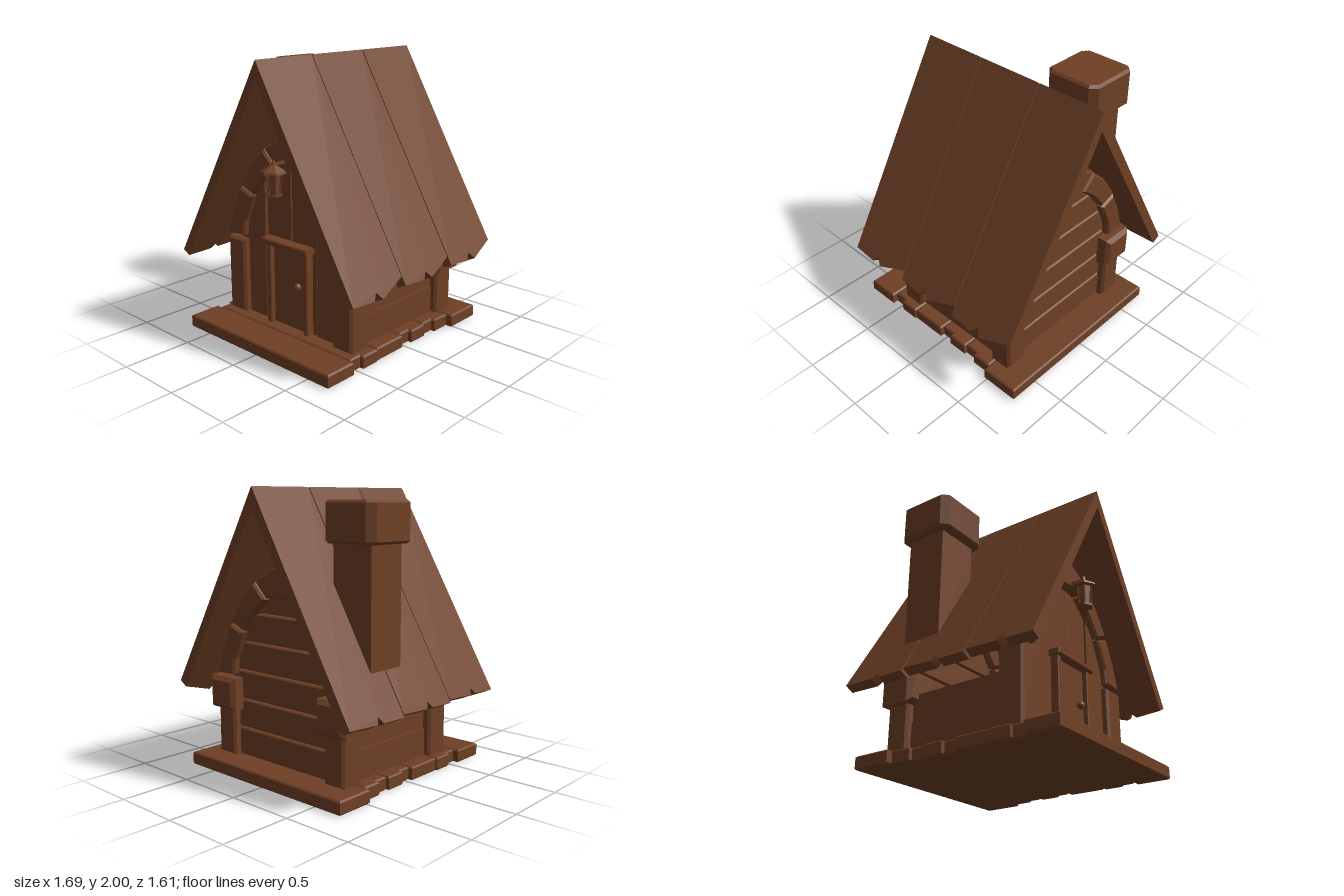
import * as THREE from 'three';

export function createModel() {
  const model = new THREE.Group();
  model.name = 'cottage';
  const wood = new THREE.MeshStandardMaterial({ color: 0x6f4025 });
  wood.name = 'brown wood';

  const add = (name, geometry, parent = model) => {
    const mesh = new THREE.Mesh(geometry, wood);
    mesh.name = name;
    parent.add(mesh);
    return mesh;
  };
  const group = (name) => {
    const g = new THREE.Group();
    g.name = name;
    model.add(g);
    return g;
  };
  const shapeOf = (pts) => new THREE.Shape(pts.map(([x, y]) => new THREE.Vector2(x, y)));

  // Outline in x,y pushed from z0 to z1, with chamfered edges
  const slab = (pts, z0, z1, b = 0.012) => {
    const g = new THREE.ExtrudeGeometry(shapeOf(pts), {
      depth: z1 - z0 - 2 * b, bevelEnabled: b > 0, bevelSegments: 1,
      bevelSize: b, bevelThickness: b, bevelOffset: -b,
    });
    return g.translate(0, 0, z0 + b);
  };
  const rect = (x0, x1, y0, y1) => [[x0, y0], [x1, y0], [x1, y1], [x0, y1]];
  const block = (x0, x1, y0, y1, z0, z1, b) => slab(rect(x0, x1, y0, y1), z0, z1, b);
  // Outline in x,z pushed down from y1 to y0
  const plan = (pts, y0, y1, b) => slab(pts, 0, y1 - y0, b).rotateX(Math.PI / 2).translate(0, y1, 0);
  const flip = (pts) => pts.map(([x, y]) => [-x, y]);
  const facet = (g) => {
    const f = g.toNonIndexed();
    f.computeVertexNormals();
    return f;
  };

  // Floor boards: front edge, back edge, step position, half length before and after the step
  const floor = group('floor');
  [
    [0.81, 0.565, 0.7, 0.69, 0.69], [0.56, 0.315, 0.46, 0.65, 0.68],
    [0.31, 0.035, 0.17, 0.67, 0.67], [0.03, -0.22, -0.07, 0.64, 0.67],
    [-0.225, -0.475, -0.33, 0.65, 0.68], [-0.48, -0.765, -0.6, 0.725, 0.725],
  ].forEach(([z0, z1, s, a, c]) => {
    const side = a === c ? [[a, z0], [c, z1]] : [[a, z0], [a, s], [c, s], [c, z1]];
    add('floorBoard', plan([...side, ...flip(side).reverse()], 0, 0.095, 0.01), floor);
  });

  // Roof: three boards on each slope with skewed, notched eaves
  const roof = group('roof');
  const slope = 1.716, thick = 0.14;
  const roofBoard = (pts) => {
    const g = slab(pts, 0, thick, 0);
    const p = g.attributes.position;
    for (let i = 0; i < p.count; i++) {
      const d = p.getZ(i), z = p.getY(i);
      const x = p.getX(i) * (1 - 0.075 * d / thick);
      p.setXYZ(i, x, 2 - slope * Math.abs(x) - d, z);
    }
    g.computeVertexNormals();
    return g;
  };
  [[0.74, 0.232], [0.226, -0.279], [-0.287, -0.8]].forEach(([z0, z1]) => {
    const n = z0 - 0.233;
    add('roofBoardLeft', roofBoard([[0, z0], [0.835, z0], [0.842, n + 0.04], [0.817, n],
      [0.845, n - 0.04], [0.802, z1], [0, z1]]), roof);
    add('roofBoardRight', roofBoard([[0, z0], [-0.845, z0], [-0.842, n + 0.03], [-0.818, n],
      [-0.842, n - 0.03], [-0.835, z1], [0, z1]]), roof);
  });

  // Arched frames: posts, curved side stones and a peaked top piece
  const lower = [[0.61, 0.68], [0.445, 0.69], [0.43, 0.8], [0.34, 1.0], [0.47, 1.05], [0.55, 0.88]];
  const upper = [[0.465, 1.065], [0.335, 1.015], [0.23, 1.15], [0.11, 1.25], [0.22, 1.36], [0.35, 1.235]];
  const crown = [[0.21, 1.375], [0, 1.48], [-0.21, 1.375], [-0.1, 1.26], [0, 1.275], [0.1, 1.26]];
  const arch = (name, z0, z1) => {
    const g = group(name);
    for (const s of [1, -1]) {
      const side = (pts) => (s > 0 ? pts : flip(pts));
      add('post', slab(side(rect(0.435, 0.61, 0.095, 0.66)), z0, z1, 0.018), g);
      add('lowerArchPiece', slab(side(lower), z0, z1 - 0.005, 0.015), g);
      add('upperArchPiece', slab(side(upper), z0, z1 - 0.005, 0.015), g);
    }
    add('archCrown', slab(crown, z0, z1, 0.015), g);
    return g;
  };
  arch('frontArch', 0.31, 0.505);
  const back = arch('backArch', -0.61, -0.43);
  for (const s of [1, -1]) {
    const pts = rect(0.4, 0.652, 0.43, 0.665);
    add('postBand', slab(s > 0 ? pts : flip(pts), -0.655, -0.385, 0.03), back);
  }

  // Middle line of the arch, used to trim the end walls
  const line = [[0, 1.38], [0.16, 1.31], [0.4, 1.03], [0.52, 0.67], [0.52, 0.09]];
  const along = (v, a, b) => {
    for (let i = 0; i < line.length - 1; i++) {
      const p = line[i], q = line[i + 1];
      const t = (v - p[a]) / (q[a] - p[a]);
      if (t >= 0 && t <= 1) return p[b] + t * (q[b] - p[b]);
    }
    return 0;
  };

  // Front wall: upright boards
  const frontWall = group('frontWall');
  for (const s of [1, -1]) {
    [[0.003, 0.247, 0.16, 0.44], [0.253, 0.515, 0.4, 0.452]].forEach(([x0, x1, xm, z]) => {
      const pts = [[x0, 0.09], [x1, 0.09], [x1, along(x1, 0, 1)], [xm, along(xm, 0, 1)], [x0, along(x0, 0, 1)]];
      add('wallBoard', slab(s > 0 ? pts : flip(pts), 0.37, z, 0.006), frontWall);
    });
  }

  // Back wall: level boards
  const backWall = group('backWall');
  for (let i = 0; i < 6; i++) {
    const y0 = 0.095 + i * 0.21, y1 = y0 + 0.2;
    const w0 = along(y0, 1, 0), w1 = along(Math.min(y1, 1.37), 1, 0);
    add('wallBoard', slab([[-w0, y0], [w0, y0], [w1, y1], [-w1, y1]], -0.555, -0.49, 0.01), backWall);
  }

  // Low side walls between the posts
  const sideWalls = group('sideWalls');
  for (const s of [1, -1]) {
    for (const [y0, y1, x] of [[0.095, 0.298, 0.565], [0.303, 0.5, 0.555]]) {
      const pts = rect(0.49, x, y0, y1);
      add('sideBoard', slab(s > 0 ? pts : flip(pts), -0.45, 0.33, 0.008), sideWalls);
    }
  }

  // Door with frame and knob
  const door = group('door');
  add('doorPanel', block(-0.165, 0.165, 0.095, 0.695, 0.4, 0.462, 0.005), door);
  for (const s of [1, -1]) {
    add('doorJamb', block(s * 0.18 - 0.02, s * 0.18 + 0.02, 0.095, 0.695, 0.4, 0.5, 0.006), door);
  }
  add('lintel', block(-0.225, 0.215, 0.69, 0.732, 0.4, 0.525, 0.008), door);
  const knob = add('doorKnob', facet(new THREE.SphereGeometry(0.028, 8, 6)), door);
  knob.position.set(0.092, 0.428, 0.483);

  // Lantern hung in front of the arch
  const lantern = group('lantern');
  lantern.position.set(0, 0, 0.6);
  const ring = (name, rTop, rBottom, y0, y1) => {
    add(name, facet(new THREE.CylinderGeometry(rTop, rBottom, y1 - y0, 6)), lantern)
      .position.y = (y0 + y1) / 2;
  };
  ring('lanternBase', 0.058, 0.058, 1.09, 1.105);
  ring('lanternGlass', 0.048, 0.036, 1.105, 1.245);
  ring('lanternRim', 0.085, 0.09, 1.245, 1.26);
  ring('lanternRoof', 0.022, 0.085, 1.26, 1.3);
  ring('lanternTip', 0.006, 0.018, 1.3, 1.335);
  for (let i = 0; i < 6; i++) {
    const a = (i * Math.PI) / 3;
    const bar = new THREE.LineCurve3(
      new THREE.Vector3(Math.sin(a) * 0.042, 1.1, Math.cos(a) * 0.042),
      new THREE.Vector3(Math.sin(a) * 0.055, 1.25, Math.cos(a) * 0.055));
    add('lanternBar', new THREE.TubeGeometry(bar, 1, 0.007, 4), lantern);
  }
  add('lanternBracket', block(-0.01, 0.01, 1.295, 1.315, -0.13, 0.01, 0.003), lantern);

  // Chimney shaft, its foot cut to follow the roof
  const chimney = group('chimney');
  const shaft = new THREE.BoxGeometry(0.32, 1, 0.3).translate(-0.52, 0, -0.278);
  const sp = shaft.attributes.position;
  for (let i = 0; i < sp.count; i++) {
    const x = sp.getX(i);
    if (sp.getY(i) > 0) sp.setY(i, 1.66);
    else sp.setY(i, 2 - slope * Math.abs(x) + 0.01 - 0.06);
  }
  shaft.computeVertexNormals();
  add('chimneyShaft', facet(shaft), chimney);

  // Hollow chimney cap with cut corners
  const cx = -0.52, cz = -0.278, r = 0.215, c = 0.05, h = 0.15;
  const cap = shapeOf([[r, c - r], [r, r - c], [r - c, r], [c - r, r], [-r, r - c], [-r, c - r], [c - r, -r], [r - c, -r]]);
  cap.holes.push(new THREE.Path(rect(-h - 0.015, h + 0.015, -h - 0.015, h + 0.015).map(([x, y]) => new THREE.Vector2(x, y))));
  const capGeometry = new THREE.ExtrudeGeometry(cap, {
    depth: 0.24, bevelSegments: 1, bevelSize: 0.018, bevelThickness: 0.018, bevelOffset: -0.018,
  });
  capGeometry.rotateX(Math.PI / 2).translate(cx, 1.898, cz);
  add('chimneyCap', capGeometry, chimney);

  return model;
}
